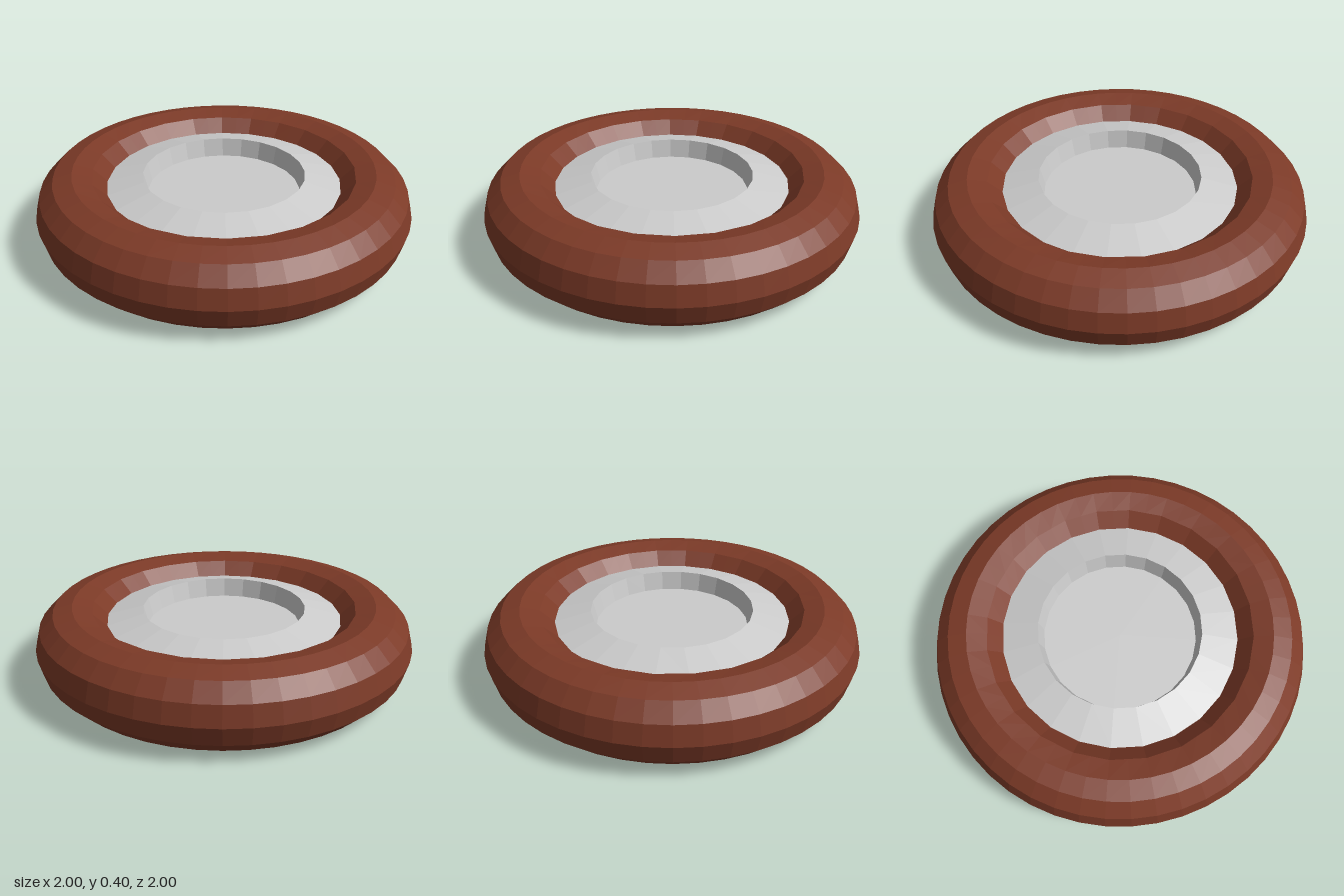
import * as THREE from 'three';

const SIDES = 48;

// Ring of the tyre: 48 sides outside, easing to 24 straight chords around the hole
function tyreGeometry() {
  const geometry = new THREE.TorusGeometry(0.8, 0.2, 12, SIDES);
  geometry.rotateX(Math.PI / 2);
  geometry.translate(0, 0.2, 0);
  const position = geometry.attributes.position;
  const step = (2 * Math.PI) / SIDES;
  for (let i = 0; i < position.count; i++) {
    const x = position.getX(i);
    const z = position.getZ(i);
    const isOdd = Math.abs(Math.round(Math.atan2(z, x) / step)) % 2 === 1;
    if (isOdd && Math.hypot(x, z) < 0.75) {
      position.setX(i, x * Math.cos(step));
      position.setZ(i, z * Math.cos(step));
    }
  }
  return geometry;
}

export function createModel() {
  const group = new THREE.Group();
  group.name = 'wheel';
  const rubber = new THREE.MeshStandardMaterial({ color: 0x7c3a27, flatShading: true });
  const metal = new THREE.MeshStandardMaterial({ color: 0xcccccc, flatShading: true });

  // Faceted tyre lying flat
  const tyre = new THREE.Mesh(tyreGeometry(), rubber);
  tyre.name = 'tyre';
  group.add(tyre);

  // Hub: recessed centre disc and sloped rim, same above and below,
  // its outer edge buried in the tyre
  const profile = [
    [0, 0.15], [0.41, 0.15], [0.434, 0.05], [0.627, 0.1], [0.64, 0.104],
    [0.64, 0.296], [0.627, 0.3], [0.434, 0.35], [0.41, 0.25], [0, 0.25],
  ].map(([r, y]) => new THREE.Vector2(r, y));
  const hub = new THREE.Mesh(new THREE.LatheGeometry(profile, SIDES / 2), metal);
  hub.name = 'hub';
  group.add(hub);

  return group;
}
